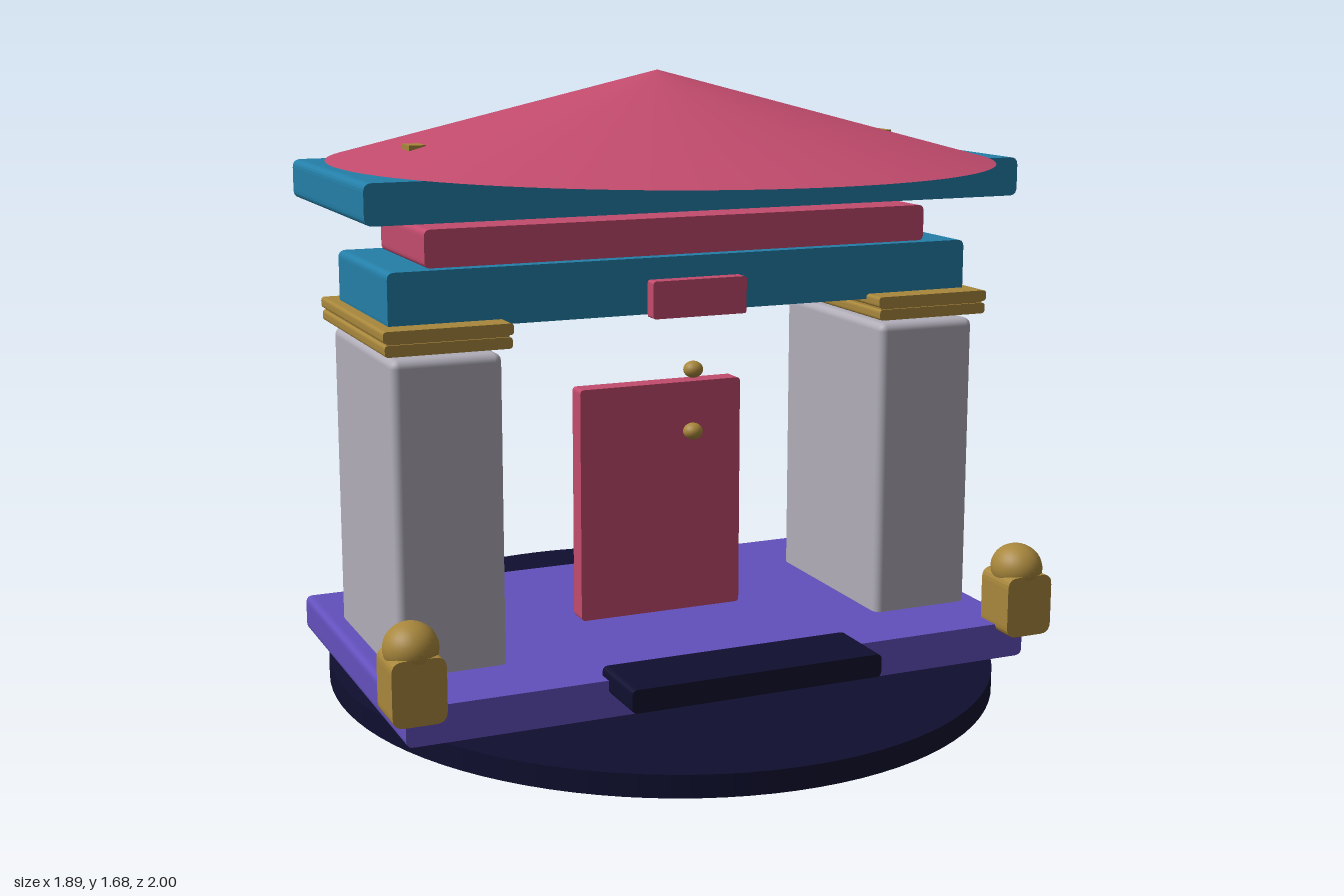
import * as THREE from 'three';
import { RoundedBoxGeometry } from 'three/addons/geometries/RoundedBoxGeometry.js';

const paint = (name, color) => {
  const m = new THREE.MeshStandardMaterial({ color });
  m.name = name;
  return m;
};

export function createModel() {
  const navy = paint('navy', 0x0f0f30);
  const purple = paint('purple', 0x6350bd);
  const red = paint('red', 0xc24b6d);
  const blue = paint('blue', 0x247fa8);
  const gold = paint('gold', 0xa8873c);
  const stone = paint('stone', 0xb0adb8);

  const model = new THREE.Group();
  model.name = 'gate';

  const add = (name, geometry, material, x = 0, y = 0, z = 0) => {
    const mesh = new THREE.Mesh(geometry, material);
    mesh.name = name;
    mesh.position.set(x, y, z);
    model.add(mesh);
    return mesh;
  };

  // Slab with corners rounded in the front outline, extruded along z
  const slab = (w, h, d, r) => {
    const x = w / 2, y = h / 2;
    const s = new THREE.Shape();
    s.moveTo(-x + r, -y);
    s.lineTo(x - r, -y);
    s.quadraticCurveTo(x, -y, x, -y + r);
    s.lineTo(x, y - r);
    s.quadraticCurveTo(x, y, x - r, y);
    s.lineTo(-x + r, y);
    s.quadraticCurveTo(-x, y, -x, y - r);
    s.lineTo(-x, -y + r);
    s.quadraticCurveTo(-x, -y, -x + r, -y);
    const g = new THREE.ExtrudeGeometry(s, { depth: d, bevelEnabled: false, curveSegments: 5 });
    return g.translate(0, 0, -d / 2);
  };

  // Oval ground disc, plinth and front step
  const disc = new THREE.CylinderGeometry(1, 1, 0.06, 96).scale(0.925, 1, 1);
  add('groundDisc', disc, navy, 0, 0.03, 0);
  add('plinth', slab(1.79, 0.1, 1.02, 0.02), purple, 0, 0.11, 0);
  add('frontStep', slab(0.71, 0.062, 0.2, 0.015), navy, 0, 0.154, 0.567);

  // Door leaf and its row of studs
  add('door', slab(0.485, 0.66, 0.06, 0.012), red, 0, 0.49, 0);
  for (const y of [0.68, 0.857, 1.035]) {
    add('doorStud', new THREE.SphereGeometry(0.028, 20, 14).scale(1, 0.85, 1), gold, 0.09, y, 0.045);
  }

  for (const side of [-1, 1]) {
    // Pillar with a grooved gold capital
    add('pillar', new RoundedBoxGeometry(0.295, 0.85, 0.575, 2, 0.022), stone, side * 0.698, 0.565, 0);
    add('capitalLower', slab(0.335, 0.03, 0.62, 0.01), gold, side * 0.7, 1.02, 0);
    add('capitalGroove', new THREE.BoxGeometry(0.322, 0.02, 0.607), gold, side * 0.7, 1.037, 0);
    add('capitalUpper', slab(0.342, 0.03, 0.62, 0.01), gold, side * 0.7, 1.055, 0);

    // Guardian post: block with a domed head
    add('guardianBody', slab(0.14, 0.17, 0.134, 0.03), gold, side * 0.875, 0.222, 0.505);
    add('guardianHead', new THREE.SphereGeometry(1, 28, 20).scale(0.07, 0.066, 0.075), gold, side * 0.875, 0.317, 0.502);

    // Small roof tab
    add('roofTab', new THREE.BoxGeometry(0.045, 0.014, 0.07), gold, side * 0.69, 1.497, 0);
  }

  // Stacked beams and name plaque
  add('lowerBeam', slab(1.675, 0.15, 0.475, 0.02), blue, 0, 1.131, 0);
  add('plaque', slab(0.27, 0.1, 0.04, 0.008), red, 0, 1.1, 0.27);
  add('middleBeam', slab(1.455, 0.1, 0.4, 0.018), red, 0, 1.255, 0);
  add('upperBeam', slab(1.85, 0.105, 0.725, 0.022), blue, 0, 1.392, 0);

  // Shallow oval cone roof, turned off axis
  const roof = new THREE.ConeGeometry(1, 0.24, 96).scale(0.922, 1, 0.85);
  roof.rotateY(-0.85);
  add('roof', roof, red, 0, 1.565, 0);

  return model;
}
